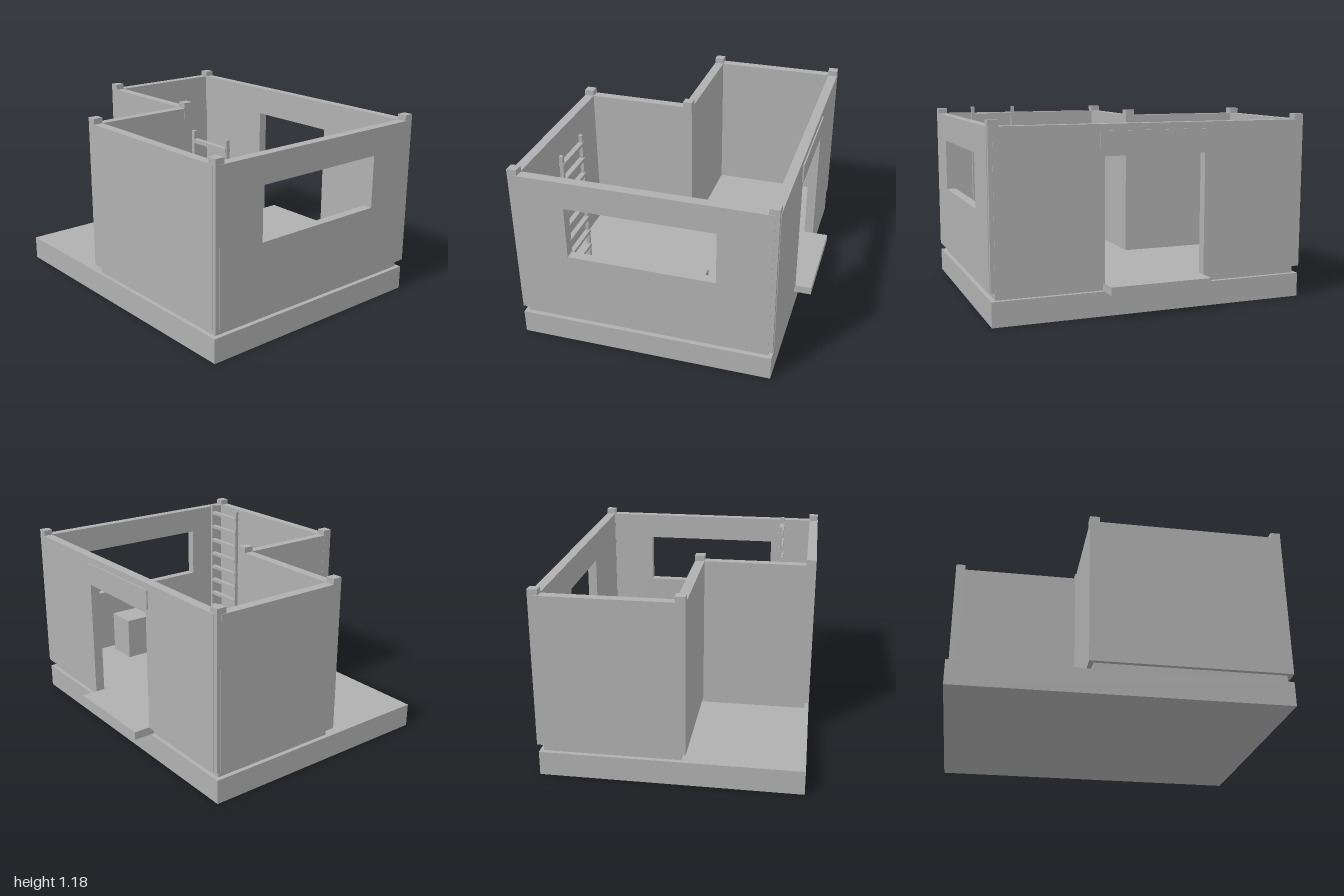
import * as THREE from 'three';

export function createModel() {
  const model = new THREE.Group();
  model.name = 'openRoofHouse';
  const plaster = new THREE.MeshStandardMaterial({ color: 0xb0b0b0 });
  plaster.name = 'plainGrey';

  const add = (name, geometry, parent = model) => {
    const mesh = new THREE.Mesh(geometry, plaster);
    mesh.name = name;
    parent.add(mesh);
    return mesh;
  };
  // Box given by its lower and upper limits
  const box = (name, x0, x1, y0, y1, z0, z1, parent) => {
    const mesh = add(name, new THREE.BoxGeometry(x1 - x0, y1 - y0, z1 - z0), parent);
    mesh.position.set((x0 + x1) / 2, (y0 + y1) / 2, (z0 + z1) / 2);
    return mesh;
  };
  const shapeOf = (points) => new THREE.Shape(points.map(([x, y]) => new THREE.Vector2(x, y)));
  const extrude = (shape, depth) => new THREE.ExtrudeGeometry(shape, { depth, bevelEnabled: false });

  const T = 0.06, FLOOR = 0.2, TOP = 1.13;
  const BACK = -0.74, FRONT = 0.84;

  // Ground slab, recessed L-shaped floor and doorstep
  box('groundSlab', -0.995, 0.993, 0, 0.15, -0.73, 0.84);
  const floorShape = shapeOf([
    [-0.968, 0.705], [-0.968, -0.12], [-0.175, -0.12],
    [-0.175, -0.813], [0.965, -0.813], [0.965, 0.705],
  ]);
  const floor = add('floor', extrude(floorShape, 0.05));
  floor.rotation.x = -Math.PI / 2;
  floor.position.y = 0.15;
  box('doorstep', -0.32, 0.32, 0.15, FLOOR, -0.842, -0.675);

  // Back wall with a doorway
  const backShape = shapeOf([
    [-0.972, FLOOR], [-0.32, FLOOR], [-0.32, 0.945], [0.32, 0.945],
    [0.32, FLOOR], [0.972, FLOOR], [0.972, TOP], [-0.972, TOP],
  ]);
  add('backWall', extrude(backShape, T)).position.z = BACK;
  box('doorLintel', -0.345, 0.345, 0.975, 1.09, BACK - 0.008, BACK);

  // Left wall with a wide window
  const sideShape = shapeOf([[-0.712, FLOOR], [0.812, FLOOR], [0.812, TOP], [-0.712, TOP]]);
  sideShape.holes.push(new THREE.Path([
    [-0.395, 0.63], [-0.395, 0.96], [0.505, 0.96], [0.505, 0.63],
  ].map(([x, y]) => new THREE.Vector2(x, y))));
  const leftWall = add('leftWall', extrude(sideShape, T));
  leftWall.rotation.y = -Math.PI / 2;
  leftWall.position.x = 1;

  // Plain walls
  box('rightWall', -1, -0.94, FLOOR, TOP, -0.712, 0.15);
  box('frontWall', -0.2, 0.972, FLOOR, TOP, FRONT - T, FRONT);
  box('porchBackWall', -0.94, -0.145, FLOOR, TOP, 0.09, 0.15);
  box('porchSideWall', -0.203, -0.145, FLOOR, TOP, 0.15, FRONT - T);

  // Corner posts rising above the walls
  const posts = new THREE.Group();
  posts.name = 'cornerPosts';
  model.add(posts);
  for (const [x, z] of [[-0.967, -0.707], [0.967, -0.707], [0.967, 0.808],
    [-0.174, 0.81], [-0.174, 0.12], [-0.97, 0.12]]) {
    box('cornerPost', x - 0.03, x + 0.03, FLOOR, 1.165, z - 0.03, z + 0.03, posts);
  }

  // Solid bench beside the window
  box('bench', 0.675, 0.88, FLOOR, 0.48, -0.26, 0.295);

  // Ladder
  const ladder = new THREE.Group();
  ladder.name = 'ladder';
  model.add(ladder);
  for (const x of [0.515, 0.795]) {
    box('ladderRail', x - 0.01, x + 0.01, FLOOR, 1.182, 0.578, 0.6, ladder);
  }
  for (let i = 0; i < 9; i++) {
    const y = 1.125 - i * 0.105;
    box('ladderRung', 0.508, 0.802, y - 0.01, y + 0.01, 0.573, 0.605, ladder);
  }
  return model;
}
